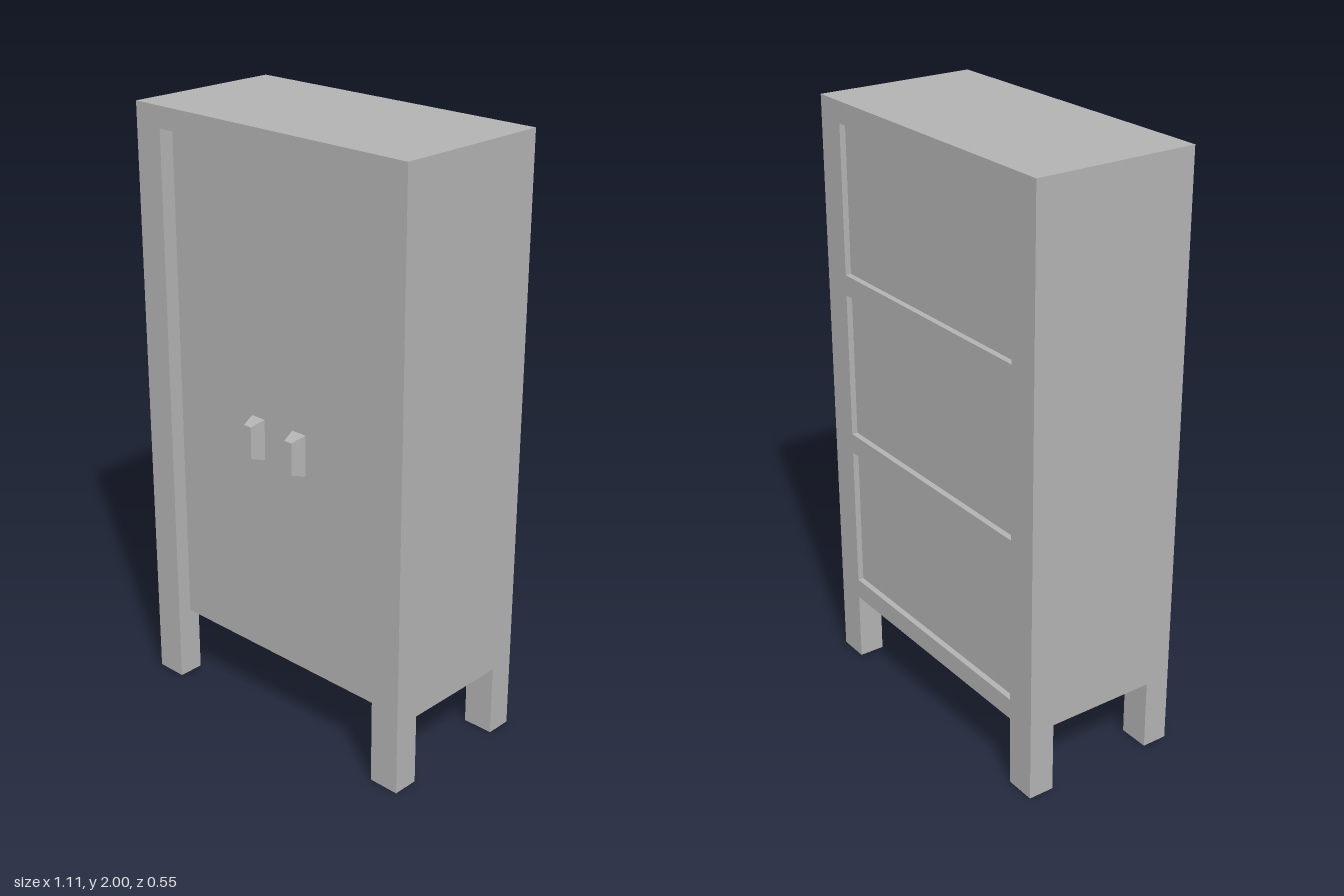
import * as THREE from 'three';

const W = 0.553, D = 0.277;          // half width, half depth
const BASE = 0.24, TOP = 2;          // cabinet body heights
const INNER = 0.447, RAIL = 0.07;    // opening half width, rail thickness
const DOOR_INSET = 0.05, BACK_INSET = 0.02;

function rectangle(PathType, x0, y0, x1, y1) {
  const p = new PathType();
  p.moveTo(x0, y0);
  p.lineTo(x1, y0);
  p.lineTo(x1, y1);
  p.lineTo(x0, y1);
  p.closePath();
  return p;
}

export function createModel() {
  const group = new THREE.Group();
  const grey = new THREE.MeshStandardMaterial({ color: 0xb2b2b2 });
  grey.name = 'grey';

  const add = (name, geometry, x = 0, y = 0, z = 0) => {
    const mesh = new THREE.Mesh(geometry, grey);
    mesh.name = name;
    mesh.position.set(x, y, z);
    group.add(mesh);
    return mesh;
  };
  const extrude = (shape, depth) =>
    new THREE.ExtrudeGeometry(shape, { depth, bevelEnabled: false });

  // Main case; its front face is the door surface, its back face the back panels
  const zFront = D - DOOR_INSET, zBack = -D + BACK_INSET;
  add('case', new THREE.BoxGeometry(2 * W, TOP - BASE, zFront - zBack),
    0, (TOP + BASE) / 2, (zFront + zBack) / 2);

  // Front frame: two stiles and a top rail, open at the bottom
  const front = new THREE.Shape([
    [-W, BASE], [-INNER, BASE], [-INNER, TOP - RAIL], [INNER, TOP - RAIL],
    [INNER, BASE], [W, BASE], [W, TOP], [-W, TOP],
  ].map(([x, y]) => new THREE.Vector2(x, y)));
  add('frontFrame', extrude(front, DOOR_INSET), 0, 0, zFront);

  // Back frame with three recessed panels
  const back = rectangle(THREE.Shape, -W, BASE, W, TOP);
  const panelHeight = (TOP - BASE - 4 * RAIL) / 3;
  for (let i = 0; i < 3; i++) {
    const y = BASE + RAIL + i * (panelHeight + RAIL);
    back.holes.push(rectangle(THREE.Path, -INNER, y, INNER, y + panelHeight));
  }
  add('backFrame', extrude(back, BACK_INSET), 0, 0, -D);

  // Legs
  const legW = W - INNER, legD = 0.088;
  const legGeometry = new THREE.BoxGeometry(legW, BASE, legD);
  for (const sx of [-1, 1]) {
    for (const sz of [-1, 1]) {
      add(`${sz > 0 ? 'front' : 'back'}${sx > 0 ? 'Left' : 'Right'}Leg`, legGeometry,
        sx * (W - legW / 2), BASE / 2, sz * (D - legD / 2));
    }
  }

  // Tapered door handles: boxes narrowed towards the front
  const handle = new THREE.BoxGeometry(0.056, 0.138, 0.048);
  const pos = handle.attributes.position;
  for (let i = 0; i < pos.count; i++) {
    if (pos.getZ(i) > 0) pos.setXY(i, pos.getX(i) * 0.54, pos.getY(i) * 0.78);
  }
  handle.computeVertexNormals();
  for (const sx of [-1, 1]) {
    add(sx > 0 ? 'leftHandle' : 'rightHandle', handle, sx * 0.089, 0.998, zFront + 0.024);
  }

  return group;
}
